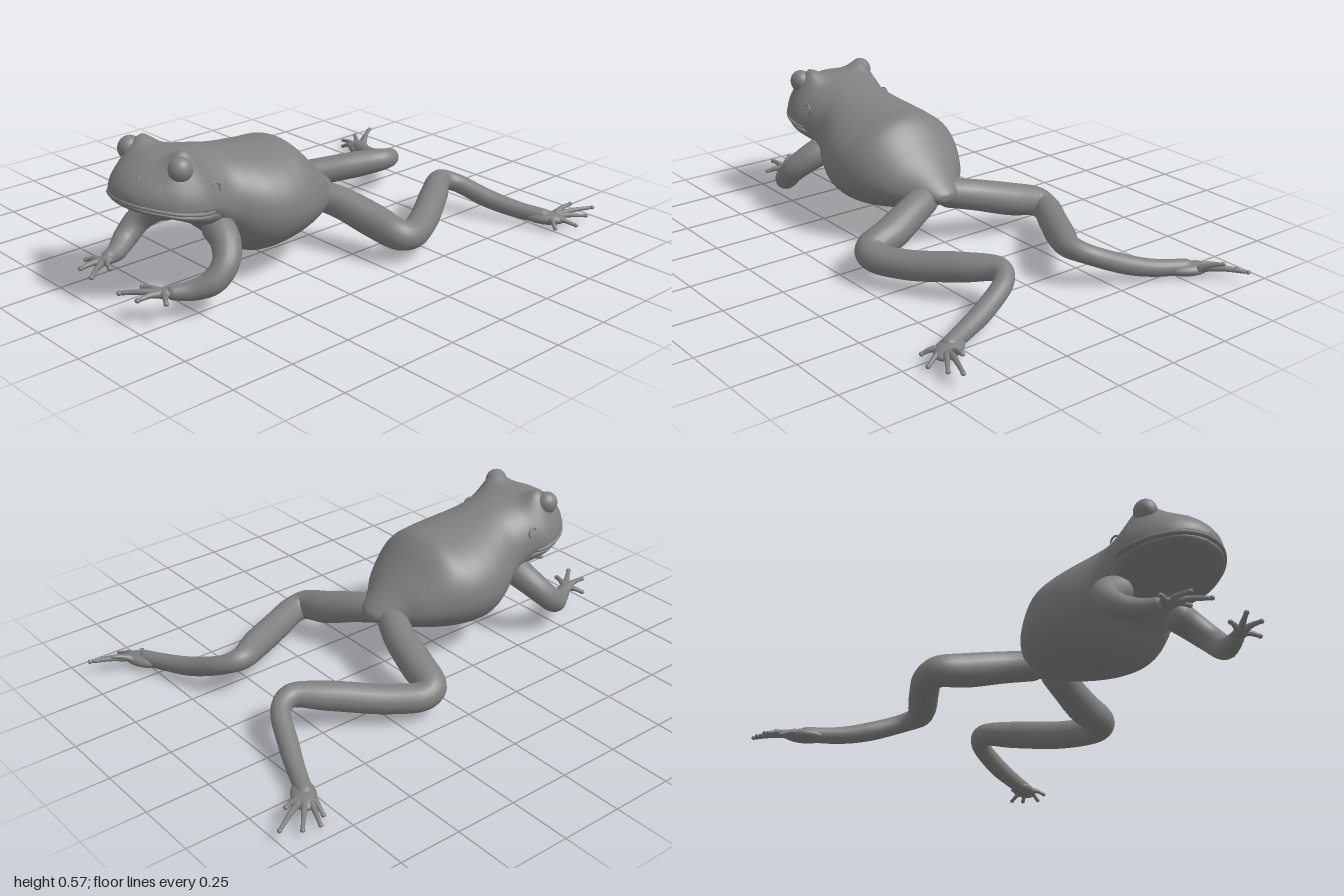
import * as THREE from 'three';
import { mergeVertices } from 'three/addons/utils/BufferGeometryUtils.js';

const CX = 0.03; // body's plane of symmetry
const material = new THREE.MeshStandardMaterial({ color: 0x808080 });

function addMesh(parent, name, geometry) {
  geometry.deleteAttribute('uv');
  geometry.deleteAttribute('normal');
  geometry = mergeVertices(geometry, 1e-5);
  geometry.computeVertexNormals();
  const mesh = new THREE.Mesh(geometry, material);
  mesh.name = name;
  parent.add(mesh);
  return mesh;
}

function spline(a, b, c, d, t) {
  return b + 0.5 * t * (c - a + t * (2 * a - 5 * b + 4 * c - d + t * (3 * (b - c) + d - a)));
}

// Value at t (0..1) of a smooth curve through a list of rows
function sampleRows(rows, t) {
  const n = rows.length - 1;
  const f = Math.min(t * n, n - 1e-6);
  const i = Math.floor(f);
  const at = (k) => rows[Math.max(0, Math.min(n, k))];
  return at(i).map((_, c) => spline(at(i - 1)[c], at(i)[c], at(i + 1)[c], at(i + 2)[c], f - i));
}

// Height added to the top of the head around each eye
function browBump(dx, z) {
  return 0.056 * Math.exp(-(((Math.abs(dx) - 0.128) / 0.048) ** 2) - ((z - 0.725) / 0.06) ** 2);
}

// Skin over rows of [z, halfWidth, top, bottom, widestHeight]
function loft(rows, rings, sides) {
  const pos = [], index = [];
  for (let i = 0; i <= rings; i++) {
    const [z, w, top, bottom, mid] = sampleRows(rows, i / rings);
    for (let j = 0; j < sides; j++) {
      const a = (j / sides) * Math.PI * 2;
      const s = Math.sin(a);
      const dx = Math.max(w, 0) * Math.cos(a);
      const y = s > 0 ? s * (top - mid) + Math.min(1, s * 2) * browBump(dx, z) : s * (mid - bottom);
      pos.push(CX + dx, mid + y, z);
      if (i === rings) continue;
      const k = i * sides + j, m = i * sides + ((j + 1) % sides);
      index.push(k, m, k + sides, m, m + sides, k + sides);
    }
  }
  const g = new THREE.BufferGeometry();
  g.setAttribute('position', new THREE.Float32BufferAttribute(pos, 3));
  g.setIndex(index);
  return g;
}

// Tube through rows of [x, y, z, radius], with rounded ends
function limb(rows, segments, sides) {
  const curve = new THREE.CatmullRomCurve3(rows.map((r) => new THREE.Vector3(r[0], r[1], r[2])));
  const g = new THREE.TubeGeometry(curve, segments, 1, sides, false);
  const length = curve.getLength();
  const v = new THREE.Vector3();
  for (let i = 0; i <= segments; i++) {
    const u = i / segments;
    const center = curve.getPointAt(u);
    const r = sampleRows(rows, curve.getUtoTmapping(u))[3];
    const d = Math.min(1, (Math.min(u, 1 - u) * length) / r);
    const radius = r * Math.sqrt(1 - (1 - d) ** 2);
    for (let j = 0; j <= sides; j++) {
      const k = i * (sides + 1) + j;
      v.fromBufferAttribute(g.attributes.position, k).sub(center).multiplyScalar(radius).add(center);
      g.attributes.position.setXYZ(k, v.x, v.y, v.z);
    }
  }
  return g;
}

function ellipsoid(parent, name, at, size, turn = 0) {
  const mesh = addMesh(parent, name, new THREE.SphereGeometry(1, 28, 20));
  mesh.position.set(...at);
  mesh.scale.set(...size);
  mesh.rotation.y = turn;
}

// Slightly arched digit from root to tip, with a round pad
function digit(parent, name, root, tip, r) {
  const mid = root.map((c, i) => (c + tip[i]) / 2 + (i === 1 ? 0.006 : 0));
  addMesh(parent, name, limb([[...root, r * 1.7], [...mid, r * 1.1], [...tip, r * 0.8]], 16, 10));
  ellipsoid(parent, name + 'Pad', tip, [r, r * 0.9, r]);
}

export function createModel() {
  const frog = new THREE.Group();
  frog.name = 'frog';

  // Torso and upper head in one skin, from rump to snout
  addMesh(frog, 'body', loft([
    [-0.068, 0, 0.232, 0.218, 0.225], [-0.05, 0.052, 0.255, 0.195, 0.225], [0.03, 0.12, 0.325, 0.165, 0.235],
    [0.1, 0.187, 0.39, 0.14, 0.25], [0.2, 0.243, 0.48, 0.112, 0.27], [0.3, 0.268, 0.49, 0.092, 0.28],
    [0.4, 0.263, 0.5, 0.088, 0.285], [0.48, 0.235, 0.515, 0.125, 0.3], [0.55, 0.203, 0.532, 0.19, 0.335],
    [0.62, 0.203, 0.545, 0.25, 0.37], [0.7, 0.222, 0.553, 0.352, 0.38], [0.78, 0.204, 0.545, 0.372, 0.388],
    [0.84, 0.162, 0.518, 0.388, 0.402], [0.88, 0.115, 0.488, 0.399, 0.412], [0.905, 0.065, 0.455, 0.406, 0.42],
    [0.916, 0, 0.424, 0.418, 0.421],
  ], 150, 64));

  // Lower jaw and throat
  addMesh(frog, 'lowerJaw', loft([
    [0.48, 0, 0.3, 0.28, 0.29], [0.55, 0.165, 0.37, 0.2, 0.32], [0.62, 0.194, 0.36, 0.25, 0.34],
    [0.7, 0.216, 0.358, 0.292, 0.35], [0.78, 0.198, 0.372, 0.335, 0.364], [0.84, 0.156, 0.387, 0.358, 0.38],
    [0.88, 0.11, 0.397, 0.372, 0.39], [0.9, 0.062, 0.403, 0.384, 0.396], [0.909, 0, 0.4, 0.396, 0.398],
  ], 64, 44));

  // Upper lip
  const lipHalf = [[0.205, 0.36, 0.65], [0.219, 0.367, 0.7], [0.201, 0.38, 0.78], [0.158, 0.394, 0.842], [0.09, 0.406, 0.893]];
  const side = (s) => lipHalf.map(([x, y, z]) => [CX + s * x, y, z, 0.007]);
  addMesh(frog, 'upperLip', limb([...side(-1), [CX, 0.411, 0.911, 0.007], ...side(1).reverse()], 80, 10));

  for (const s of [-1, 1]) {
    const X = (dx) => CX + s * dx;

    // Eye, eardrum and nostril
    ellipsoid(frog, 'eye', [X(0.15), 0.526, 0.755], [0.042, 0.046, 0.046]);
    const ear = addMesh(frog, 'eardrum', new THREE.TorusGeometry(0.02, 0.004, 8, 28));
    ear.position.set(X(0.193), 0.44, 0.64);
    ear.rotation.set(-0.3, s * 1.5, 0);
    ellipsoid(frog, 'nostril', [X(0.045), 0.494, 0.861], [0.009, 0.006, 0.007]);

    // Foreleg
    const arm = new THREE.Group();
    arm.name = s > 0 ? 'leftForeleg' : 'rightForeleg';
    frog.add(arm);
    addMesh(arm, 'arm', limb([
      [X(0.1), 0.285, 0.59, 0.065], [X(0.205), 0.24, 0.612, 0.056], [X(0.262), 0.185, 0.655, 0.05],
      [X(0.264), 0.13, 0.715, 0.046], [X(0.225), 0.104, 0.785, 0.036], [X(0.187), 0.107, 0.865, 0.024],
    ], 60, 18));
    ellipsoid(arm, 'palm', [X(0.184), 0.106, 0.865], [0.027, 0.018, 0.035]);
    for (const [dx, y, z] of [[0.085, 0.11, 0.988], [0.175, 0.11, 0.975], [0.245, 0.1, 0.905], [0.1, 0.112, 0.9]]) {
      digit(arm, 'finger', [X(0.182), 0.106, 0.87], [X(dx), y, z], 0.01);
    }
  }

  // Hind legs: hip, knee, ankle, foot
  const hindLegs = [
    ['rightHindLeg', [
      [0.02, 0.215, 0.04, 0.06], [-0.12, 0.19, -0.03, 0.062], [-0.28, 0.145, -0.07, 0.066], [-0.395, 0.115, -0.1, 0.06],
      [-0.405, 0.1, -0.145, 0.056], [-0.34, 0.1, -0.26, 0.057], [-0.215, 0.13, -0.45, 0.056], [-0.15, 0.145, -0.57, 0.045],
      [-0.18, 0.13, -0.635, 0.038], [-0.315, 0.075, -0.7, 0.038], [-0.42, 0.048, -0.745, 0.034], [-0.565, 0.036, -0.805, 0.03],
    ], [[-0.605, 0.075, -0.92], [-0.665, 0.05, -0.99], [-0.69, 0.03, -0.915], [-0.695, 0.02, -0.845], [-0.65, 0.013, -0.8]]],
    ['leftHindLeg', [
      [0.04, 0.215, 0.04, 0.06], [0.16, 0.19, -0.015, 0.062], [0.3, 0.145, -0.06, 0.066], [0.415, 0.115, -0.085, 0.06],
      [0.43, 0.105, -0.13, 0.056], [0.365, 0.105, -0.27, 0.057], [0.26, 0.13, -0.44, 0.056], [0.185, 0.145, -0.565, 0.045],
      [0.21, 0.13, -0.62, 0.038], [0.345, 0.08, -0.68, 0.038], [0.47, 0.056, -0.725, 0.034], [0.595, 0.046, -0.775, 0.03],
    ], [[0.605, 0.08, -0.885], [0.66, 0.06, -0.96], [0.675, 0.045, -0.9], [0.692, 0.032, -0.815], [0.655, 0.03, -0.73]]],
  ];
  for (const [name, path, toes] of hindLegs) {
    const leg = new THREE.Group();
    leg.name = name;
    frog.add(leg);
    addMesh(leg, 'leg', limb(path, 130, 22));
    const [x, y, z] = path[path.length - 1];
    const s = Math.sign(x);
    ellipsoid(leg, 'foot', [x - s * 0.025, y - 0.004, z + 0.005], [0.085, 0.026, 0.046], s * 0.5);
    // Toes fan out from across the front of the foot
    toes.forEach((tip, i) => {
      const k = (2 - i) * 0.013;
      digit(leg, 'toe', [x - s * 0.45 * k, y, z - 0.008 - 0.9 * k], tip, 0.009);
    });
  }
  return frog;
}
